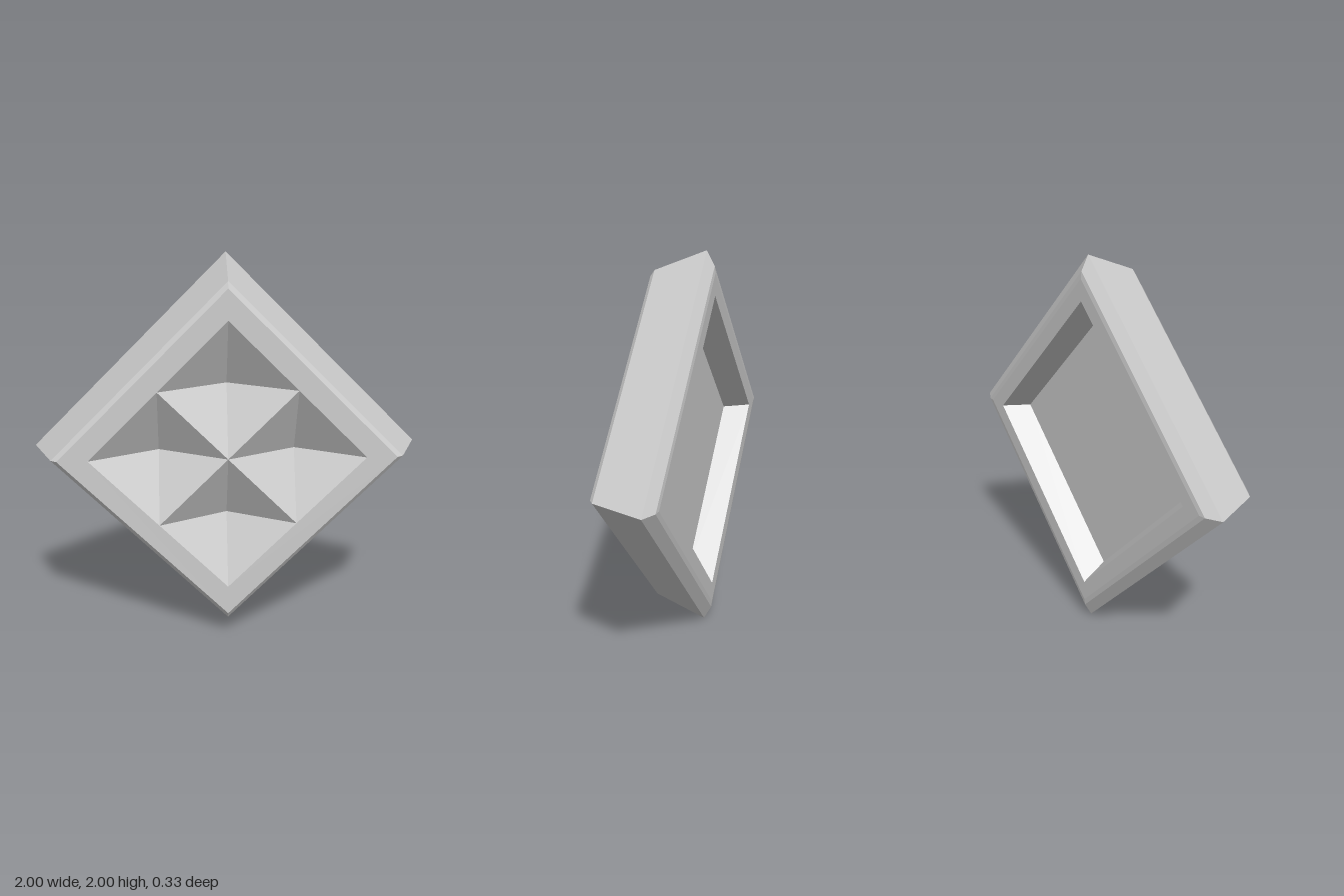
import * as THREE from 'three';

const gray = new THREE.MeshStandardMaterial({ color: 0xcccccc, flatShading: true });
gray.name = 'lightGray';

// Square-sided solid from [half diagonal, z] rings, corners on the x and y axes
function squareLathe(name, profile) {
  const points = profile.map(([r, z]) => new THREE.Vector2(r, z));
  const geometry = new THREE.LatheGeometry(points, 4).rotateX(Math.PI / 2).toNonIndexed();
  geometry.computeVertexNormals();
  const mesh = new THREE.Mesh(geometry, gray);
  mesh.name = name;
  return mesh;
}

export function createModel() {
  const FRONT = 0.167, BACK = -0.167, FLOOR = -0.035, PIT = -0.02;
  const model = new THREE.Group();
  model.name = 'diamondTile';

  // Bevelled frame: recess wall, back rim, outer ridge, sloped side, front rim
  model.add(squareLathe('frame', [
    [0.70, FLOOR], [0.78, BACK], [0.89, BACK], [0.925, -0.163],
    [1, -0.123], [0.892, 0.145], [0.86, FRONT], [0.705, FRONT],
  ]));

  // Flat floor of the recess in the back
  model.add(squareLathe('backPanel', [[0, FLOOR], [0.70, FLOOR]]));

  // Four sunken pyramids in the front
  const half = 0.3525;
  for (let i = 0; i < 4; i++) {
    const angle = i * Math.PI / 2;
    const pit = squareLathe('sunkenPyramid' + (i + 1), [[half, FRONT], [0, PIT]]);
    pit.position.set(half * Math.cos(angle), half * Math.sin(angle), 0);
    model.add(pit);
  }

  // Stand the lower corner on the ground
  model.children.forEach((part) => { part.position.y += 1; });
  return model;
}
